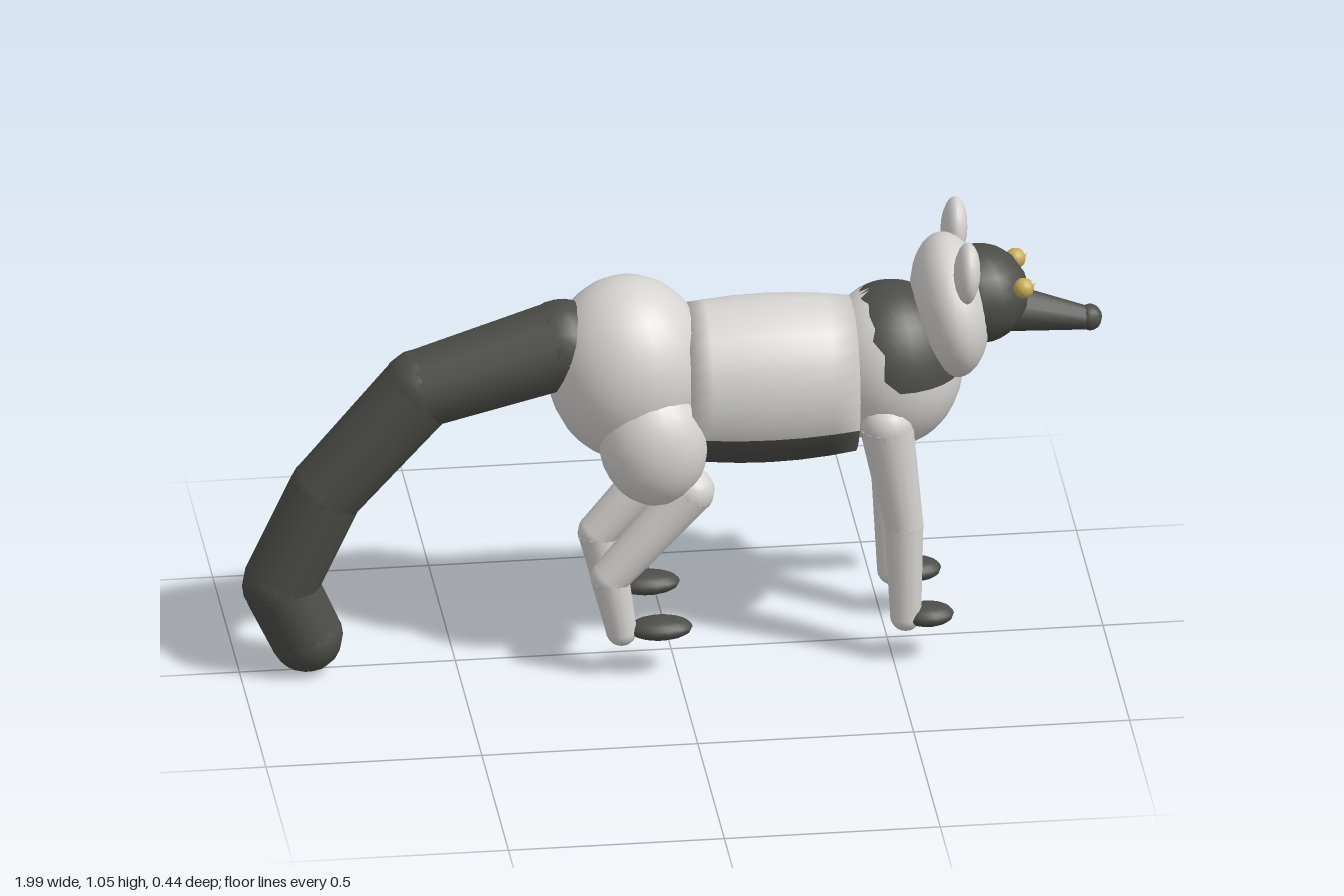
import * as THREE from 'three';

const mat = (name, color, extra = {}) => {
  const m = new THREE.MeshStandardMaterial({ color, ...extra });
  m.name = name;
  return m;
};

export function createModel() {
  const pale = mat('pale grey fur', 0xd5d4d1);
  const dark = mat('charcoal fur', 0x4c4d48);
  const gold = mat('gold eye', 0xc9ad56);
  const glint = mat('eye glint', 0xdfe3ea);
  const model = new THREE.Group();
  model.name = 'animal';

  const add = (name, geometry, material, parent = model) => {
    const mesh = new THREE.Mesh(geometry, material);
    mesh.name = name;
    parent.add(mesh);
    return mesh;
  };

  const ellipsoid = (name, pos, size, material, parent = model, tilt = 0, seg = 20) => {
    const mesh = add(name, new THREE.SphereGeometry(1, seg, Math.round(seg * 0.7)), material, parent);
    mesh.position.set(...pos);
    mesh.scale.set(...size);
    mesh.rotation.z = tilt;
    return mesh;
  };

  // Tapered cylinder from a to b
  const taper = (name, a, b, ra, rb, material, parent = model, seg = 14) => {
    const from = new THREE.Vector3(...a), to = new THREE.Vector3(...b);
    const dir = to.clone().sub(from);
    const mesh = add(name, new THREE.CylinderGeometry(rb, ra, dir.length(), seg), material, parent);
    mesh.position.copy(from).add(to).multiplyScalar(0.5);
    mesh.quaternion.setFromUnitVectors(new THREE.Vector3(0, 1, 0), dir.normalize());
    return mesh;
  };

  // Chain of tapered segments with ball joints; points are [x, y, radius]
  const chain = (name, points, z, material, parent) => {
    points.forEach(([x, y, r], i) => {
      ellipsoid(name + 'Joint' + i, [x, y, z], [r, r, r], material, parent, 0, 14);
      if (i) {
        const [px, py, pr] = points[i - 1];
        taper(name + 'Segment' + i, [px, py, z], [x, y, z], pr, r, material, parent);
      }
    });
  };

  // Sort triangles into two material groups: those passing the rule take material 1
  const paint = (geometry, rule) => {
    const p = geometry.attributes.position, idx = geometry.index.array, sets = [[], []];
    for (let i = 0; i < idx.length; i += 3) {
      const t = [idx[i], idx[i + 1], idx[i + 2]];
      const c = new THREE.Vector3();
      t.forEach(k => c.add(new THREE.Vector3().fromBufferAttribute(p, k)));
      c.divideScalar(3);
      sets[rule(c) ? 1 : 0].push(...t);
    }
    geometry.setIndex([...sets[0], ...sets[1]]);
    geometry.clearGroups();
    geometry.addGroup(0, sets[0].length, 0);
    geometry.addGroup(sets[0].length, sets[1].length, 1);
  };

  // Barrel trunk along x with a dark belly
  const profile = [[0, 0.03], [0.188, 0.03], [0.193, 0.08], [0.199, 0.15], [0.201, 0.22],
    [0.199, 0.29], [0.193, 0.36], [0.185, 0.42], [0, 0.42]];
  const trunkGeo = new THREE.LatheGeometry(profile.map(p => new THREE.Vector2(...p)), 28);
  trunkGeo.rotateZ(-Math.PI / 2);
  paint(trunkGeo, c => Math.atan2(-c.y, Math.abs(c.z)) > 0.449);
  const trunk = add('trunk', trunkGeo, [pale, dark]);
  trunk.position.y = 0.683;
  trunk.scale.z = 0.84;

  // Hips, and chest with a dark mantle over the shoulders
  ellipsoid('hips', [-0.1, 0.73, 0], [0.187, 0.22, 0.187], pale, model, 0, 24);
  const chest = ellipsoid('chest', [0.51, 0.705, 0], [0.165, 0.197, 0.17], [pale, dark], model, 0, 28);
  paint(chest.geometry, c => c.x > -0.4 + 0.3 * (1 - c.y) * Math.abs(c.z) && c.y > 0);

  // Head, dark mask, snout and nose
  const head = new THREE.Group();
  head.name = 'head';
  model.add(head);
  ellipsoid('skull', [0.645, 0.845, 0], [0.09, 0.165, 0.185], pale, head, 0.08, 24);
  ellipsoid('faceMask', [0.713, 0.87, 0], [0.115, 0.115, 0.118], dark, head, 0, 16);
  taper('snout', [0.75, 0.835, 0], [0.965, 0.791, 0], 0.06, 0.027, dark, head, 12);
  ellipsoid('nose', [0.97, 0.793, 0], [0.028, 0.031, 0.031], dark, head, 0, 12);

  // Tail drooping behind
  const tail = new THREE.Group();
  tail.name = 'tail';
  model.add(tail);
  chain('tail', [[-0.25, 0.797, 0.105], [-0.58, 0.702, 0.093], [-0.8, 0.453, 0.087],
    [-0.907, 0.222, 0.087], [-0.845, 0.087, 0.085]], 0, dark, tail);

  // Mirrored parts
  for (const [side, s] of [['right', 1], ['left', -1]]) {
    ellipsoid(side + 'Ear', [0.67, 0.981, s * 0.122], [0.03, 0.074, 0.063], pale, head, -0.08, 16);
    ellipsoid(side + 'Eye', [0.807, 0.915, s * 0.079], [0.024, 0.024, 0.024], gold, head, 0, 14);
    ellipsoid(side + 'EyeGlint', [0.827, 0.926, s * 0.079], [0.007, 0.007, 0.007], glint, head, 0, 8);

    const foreleg = new THREE.Group();
    foreleg.name = side + 'Foreleg';
    model.add(foreleg);
    chain('foreleg', [[0.485, 0.605, 0.061], [0.524, 0.35, 0.045], [0.528, 0.115, 0.036]], s * 0.122, pale, foreleg);
    ellipsoid('frontPaw', [0.58, 0.115, s * 0.12], [0.06, 0.026, 0.046], dark, foreleg, 0, 14);

    const hindLeg = new THREE.Group();
    hindLeg.name = side + 'HindLeg';
    model.add(hindLeg);
    ellipsoid('thigh', [-0.055, 0.585, s * 0.115], [0.125, 0.15, 0.105], pale, hindLeg, 0.15, 20);
    chain('hindLeg', [[0.03, 0.463, 0.056], [-0.157, 0.252, 0.045], [-0.13, 0.115, 0.036]], s * 0.12, pale, hindLeg);
    ellipsoid('hindPaw', [-0.04, 0.117, s * 0.12], [0.075, 0.026, 0.046], dark, hindLeg, 0, 14);
  }
  return model;
}
